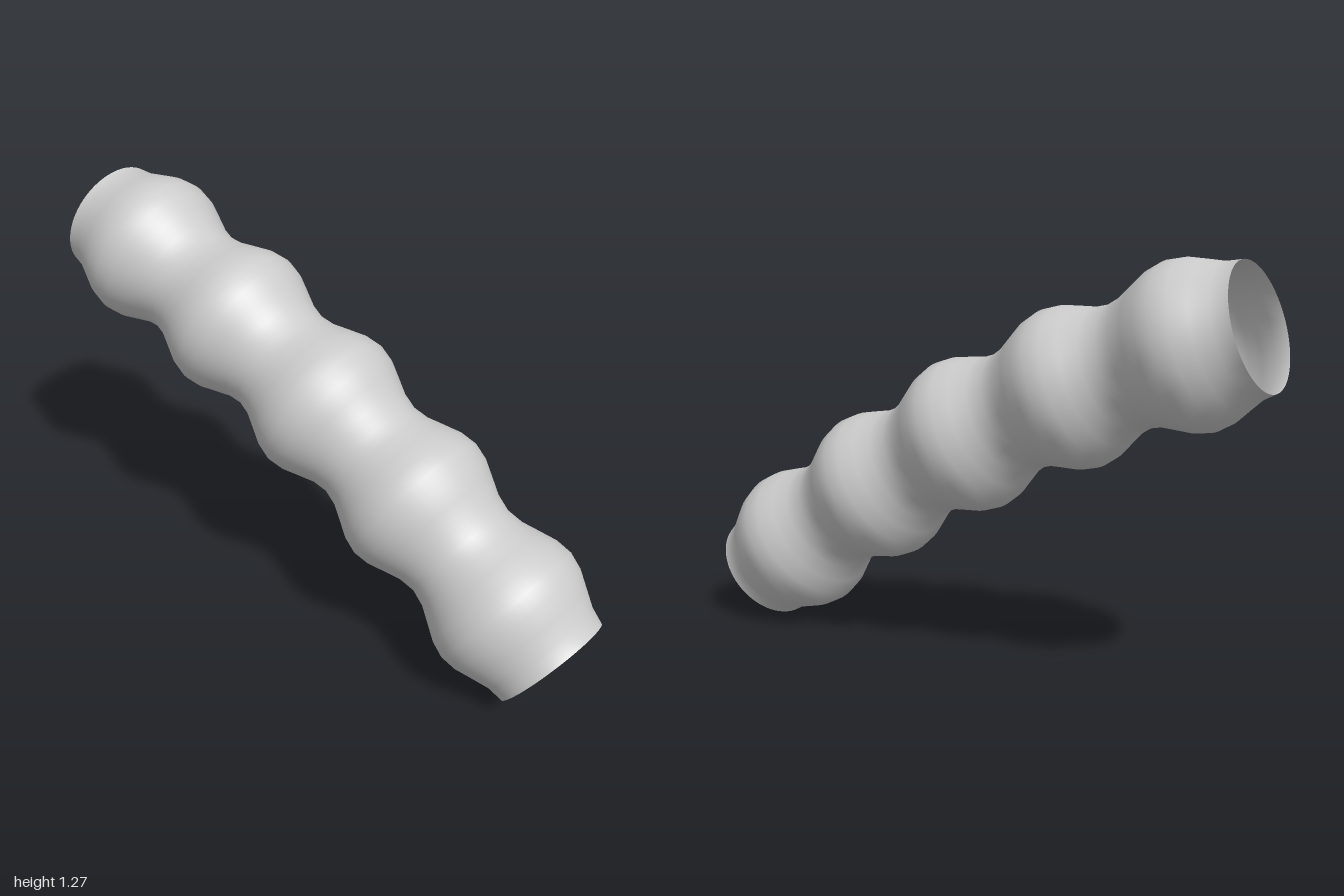
import * as THREE from 'three';
import { ParametricGeometry } from 'three/addons/geometries/ParametricGeometry.js';

const BULGES = 5;

export function createModel() {
  const group = new THREE.Group();
  group.name = 'corrugatedPipe';

  // gently drooping centre line
  const path = new THREE.QuadraticBezierCurve(
    new THREE.Vector2(-0.945, 1.088),
    new THREE.Vector2(0.033, 0.801),
    new THREE.Vector2(0.881, 0.149)
  );

  // radius swells and narrows in a wave along the pipe
  const radiusAt = (t) => 0.219 - 0.031 * Math.cos(2 * Math.PI * BULGES * t);

  // u runs around the pipe, v along it
  const surface = (u, v, target) => {
    const centre = path.getPoint(v);
    const tangent = path.getTangent(v);
    const a = u * 2 * Math.PI;
    const r = radiusAt(v);
    target.set(
      centre.x - tangent.y * r * Math.cos(a),
      centre.y + tangent.x * r * Math.cos(a),
      r * Math.sin(a)
    );
  };

  // thin wall, open at both ends
  const wall = new THREE.Mesh(
    new ParametricGeometry(surface, 64, BULGES * 8),
    new THREE.MeshStandardMaterial({ color: 0xcccccc, side: THREE.DoubleSide })
  );
  wall.name = 'pipeWall';
  group.add(wall);

  return group;
}
